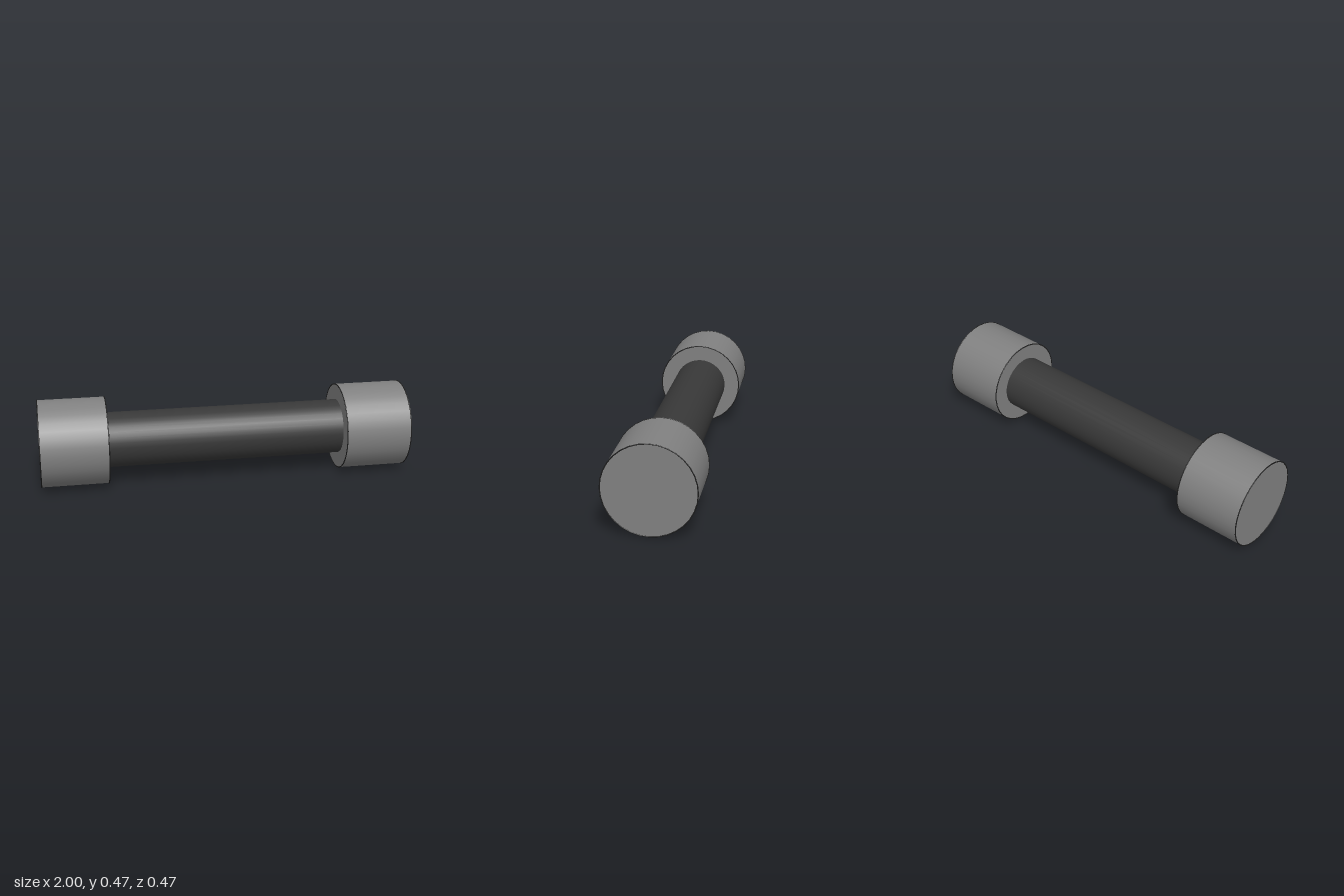
import * as THREE from 'three';

const RADIUS = 0.233, TUBE = 0.003;
const INNER = 0.64, OUTER = 0.997;
const CENTER_Y = RADIUS + TUBE;

export function createModel() {
  const steel = new THREE.MeshStandardMaterial({ name: 'grey steel', color: 0x808080 });
  const grip = new THREE.MeshStandardMaterial({ name: 'dark grip', color: 0x383838 });
  const trim = new THREE.MeshStandardMaterial({ name: 'black trim', color: 0x1c1c1c });

  const model = new THREE.Group();
  model.name = 'dumbbell';

  function add(name, geometry, material, x) {
    const mesh = new THREE.Mesh(geometry, material);
    mesh.name = name;
    mesh.position.set(x, CENTER_Y, 0);
    model.add(mesh);
  }

  // Handle along x, running slightly into both weights
  const handle = new THREE.CylinderGeometry(0.148, 0.148, INNER * 2 + 0.04, 32);
  handle.rotateZ(Math.PI / 2);
  add('handle', handle, grip, 0);

  // Weights with a thin trim ring around each edge
  const weight = new THREE.CylinderGeometry(RADIUS, RADIUS, OUTER - INNER, 32);
  weight.rotateZ(Math.PI / 2);
  const ring = new THREE.TorusGeometry(RADIUS, TUBE, 8, 32);
  ring.rotateY(Math.PI / 2);

  for (const [side, s] of [['left', 1], ['right', -1]]) {
    add(side + 'Weight', weight, steel, s * (INNER + OUTER) / 2);
    add(side + 'InnerRing', ring, trim, s * INNER);
    add(side + 'OuterRing', ring, trim, s * OUTER);
  }
  return model;
}
